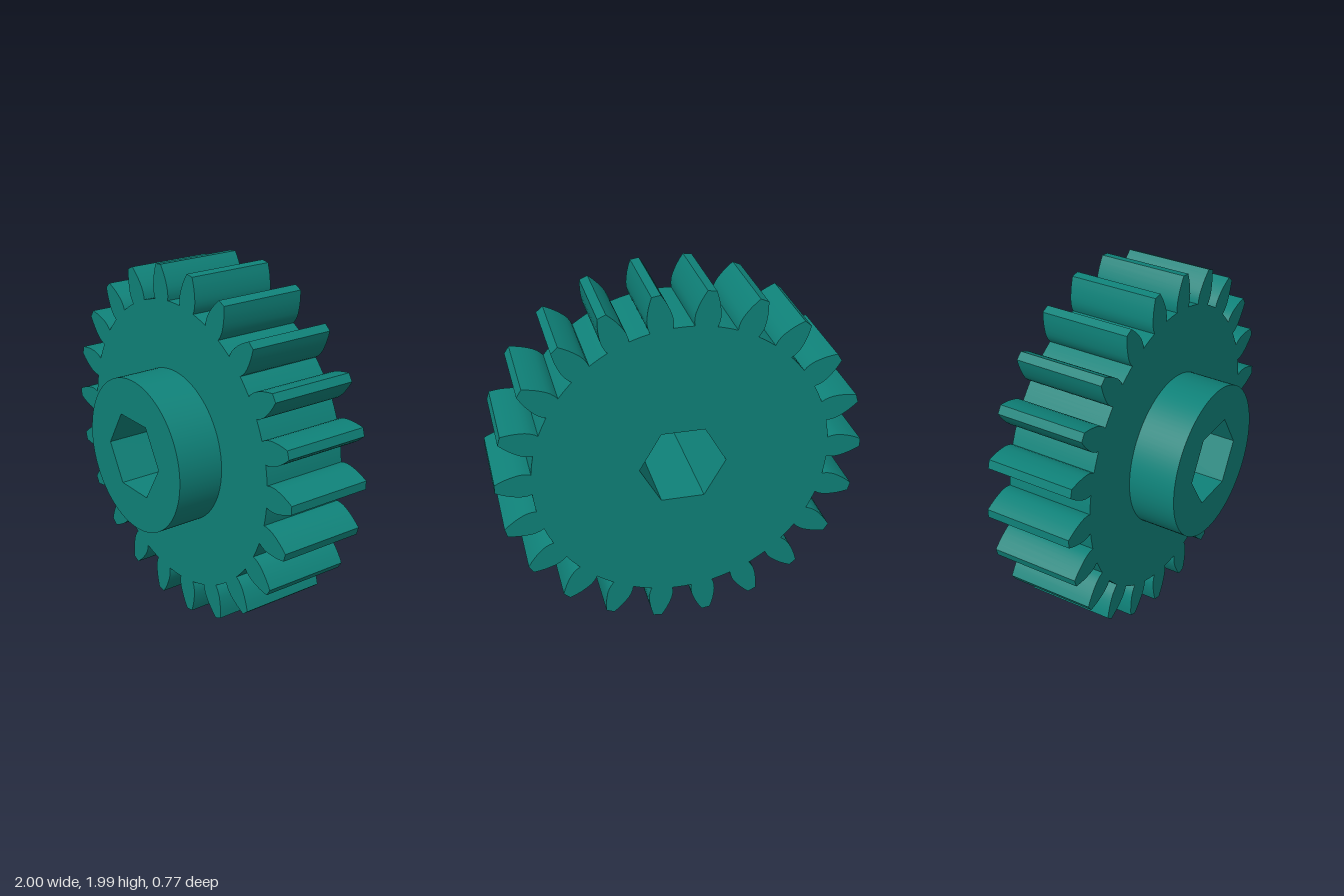
import * as THREE from 'three';
import { toCreasedNormals } from 'three/addons/utils/BufferGeometryUtils.js';

const TEETH = 22;
const BACK = -0.383, FACE = 0.115, FRONT = 0.383;
const ROOT_R = 0.81, HUB_R = 0.432, BORE_R = 0.237;

// tooth flank from root to tip: [distance from axis, half width]
const FLANK = [
  [0.808, 0.06], [0.83, 0.066], [0.855, 0.068], [0.88, 0.066],
  [0.91, 0.059], [0.94, 0.05], [0.97, 0.038], [0.9995, 0.024],
];

const polar = (r, a) => new THREE.Vector2(r * Math.cos(a), r * Math.sin(a));

// regular polygon, counter-clockwise
function ring(radius, sides) {
  return Array.from({ length: sides }, (_, i) => polar(radius, (i / sides) * Math.PI * 2));
}

// toothed outline, counter-clockwise
function gearOutline() {
  const points = [];
  const pitch = (Math.PI * 2) / TEETH;
  const rootAngle = Math.atan2(FLANK[0][1], FLANK[0][0]);
  const centre = new THREE.Vector2();
  for (let i = 0; i < TEETH; i++) {
    const a = i * pitch;
    const add = (x, y) => points.push(new THREE.Vector2(x, y).rotateAround(centre, a));
    FLANK.forEach(([r, w]) => add(r, -w));
    [...FLANK].reverse().forEach(([r, w]) => add(r, w));
    // rounded valley floor up to the next tooth
    for (let k = 1; k < 5; k++) {
      points.push(polar(ROOT_R, a + rootAngle + (k / 5) * (pitch - 2 * rootAngle)));
    }
  }
  return points;
}

// side wall following a closed outline; a clockwise outline faces inward
function wall(points, z0, z1) {
  const pos = [];
  points.forEach((p, i) => {
    const q = points[(i + 1) % points.length];
    pos.push(p.x, p.y, z0, q.x, q.y, z0, q.x, q.y, z1);
    pos.push(p.x, p.y, z0, q.x, q.y, z1, p.x, p.y, z1);
  });
  const geo = new THREE.BufferGeometry();
  geo.setAttribute('position', new THREE.Float32BufferAttribute(pos, 3));
  return toCreasedNormals(geo, Math.PI / 7);
}

// flat face with an opening, looking along +z
function face(outline, opening, z) {
  const shape = new THREE.Shape(outline);
  shape.holes.push(new THREE.Path(opening));
  return new THREE.ShapeGeometry(shape).translate(0, 0, z);
}

export function createModel() {
  const material = new THREE.MeshStandardMaterial({ color: 0x0f8279 });
  const model = new THREE.Group();
  model.name = 'spurGear';
  const add = (name, geometry) => {
    const mesh = new THREE.Mesh(geometry, material);
    mesh.name = name;
    mesh.position.y = 1;
    model.add(mesh);
  };

  const gear = gearOutline();
  const hub = ring(HUB_R, 96);
  const bore = ring(BORE_R, 6);

  // toothed wheel
  add('gearTeeth', wall(gear, BACK, FACE));
  add('gearFrontFace', face(gear, hub, FACE));
  add('gearBackFace', face(gear, bore, 0).rotateY(Math.PI).translate(0, 0, BACK));

  // raised hub on the front
  add('hubWall', wall(hub, FACE, FRONT));
  add('hubFace', face(hub, bore, FRONT));

  // hexagonal bore through hub and wheel
  add('hexBore', wall([...bore].reverse(), BACK, FRONT));

  return model;
}
